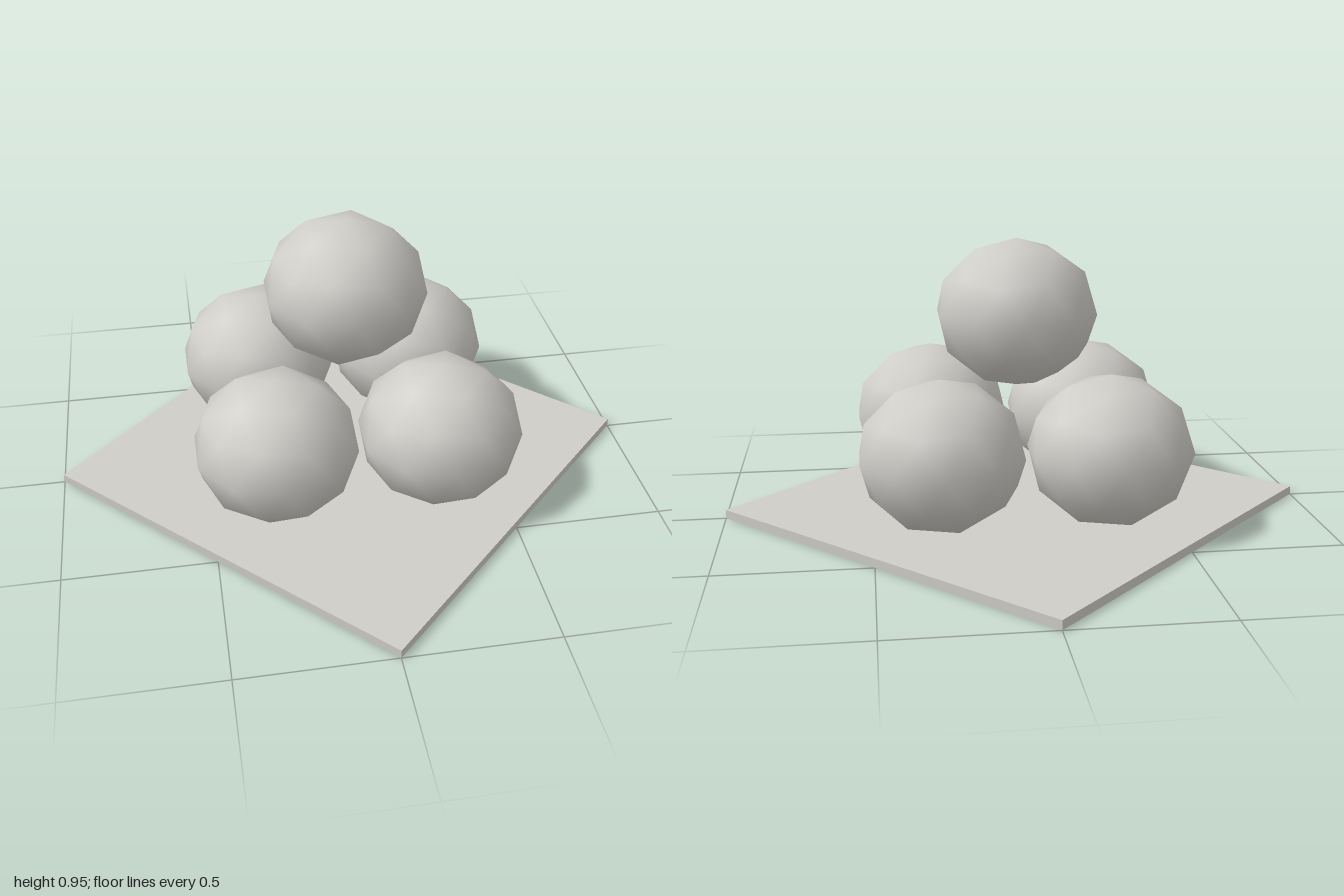
import * as THREE from 'three';

export function createModel() {
  const model = new THREE.Group();
  model.name = 'stackedBalls';

  const stone = new THREE.MeshStandardMaterial({ color: 0xcfcdc8 });
  stone.name = 'pale grey';

  // Thin square base, turned so its corners lie on the x and z axes
  const base = new THREE.Mesh(new THREE.BoxGeometry(Math.SQRT2, 0.03, Math.SQRT2), stone);
  base.name = 'base';
  base.position.y = 0.015;
  base.rotation.y = Math.PI / 4;
  model.add(base);

  // Faceted, slightly flattened ball with a corner at each pole and smooth normals
  const radius = 0.276;
  const halfHeight = 0.252;
  const ballGeometry = new THREE.IcosahedronGeometry(1, 1);
  ballGeometry.rotateZ(-Math.atan(2 / (1 + Math.sqrt(5))));
  ballGeometry.scale(radius, halfHeight, radius);

  const addBall = (name, x, y, z) => {
    const ball = new THREE.Mesh(ballGeometry, stone);
    ball.name = name;
    ball.position.set(x, y, z);
    model.add(ball);
  };

  // Four balls in a square, one resting on top
  for (const sx of [-1, 1]) {
    for (const sz of [-1, 1]) {
      const name = (sz > 0 ? 'front' : 'back') + (sx > 0 ? 'Left' : 'Right') + 'Ball';
      addBall(name, sx * radius, 0.03 + halfHeight, sz * radius);
    }
  }
  addBall('topBall', 0, 0.694, 0);

  return model;
}
